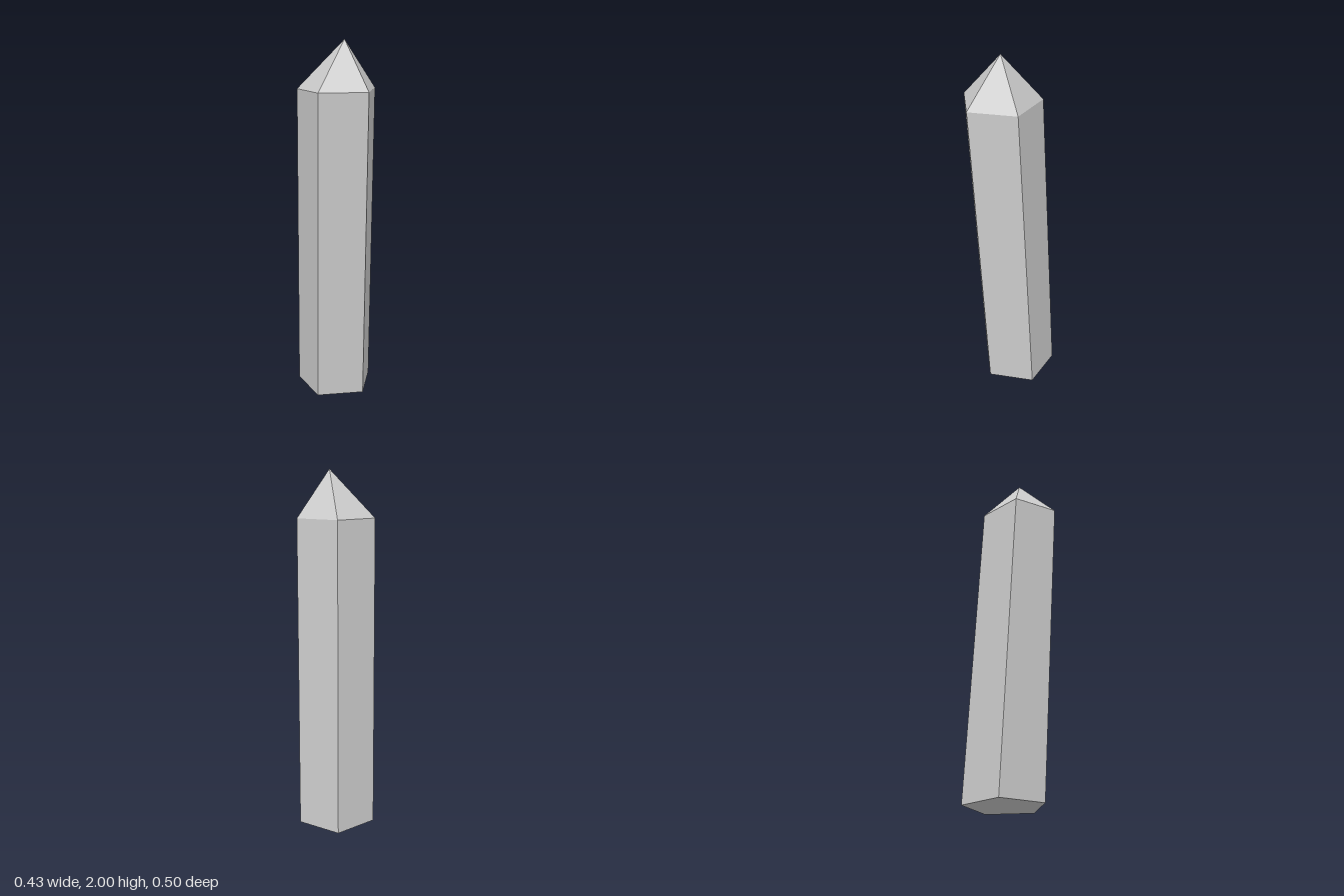
import * as THREE from 'three';

const SIDES = 5, RADIUS = 0.2235, SHOULDER = 1.74, HEIGHT = 2;

// Five-sided lathe from a profile; each vertex is then shifted by lean(y) = [dx, dz]
function leaningPrism(name, profile, lean, material) {
  const points = profile.map(([r, y]) => new THREE.Vector2(r, y));
  const geometry = new THREE.LatheGeometry(points, SIDES, Math.PI);
  const pos = geometry.attributes.position;
  for (let i = 0; i < pos.count; i++) {
    const [dx, dz] = lean(pos.getY(i));
    pos.setX(i, pos.getX(i) + dx);
    pos.setZ(i, pos.getZ(i) + dz);
  }
  geometry.computeVertexNormals();
  const mesh = new THREE.Mesh(geometry, material);
  mesh.name = name;
  return mesh;
}

export function createModel() {
  const group = new THREE.Group();
  group.name = 'crystal';
  const material = new THREE.MeshStandardMaterial({ color: 0xcccccc, flatShading: true });

  // Shaft with a closed base, leaning forward as it rises
  group.add(leaningPrism('shaft', [[0, 0], [RADIUS, 0], [RADIUS, SHOULDER]],
    (y) => [0, THREE.MathUtils.lerp(-0.0255, 0.067, y / SHOULDER)], material));

  // Pointed tip with its apex a little off centre
  group.add(leaningPrism('tip', [[RADIUS, SHOULDER], [0, HEIGHT]],
    (y) => [0.033 * (y - SHOULDER) / (HEIGHT - SHOULDER), 0.067], material));

  return group;
}
